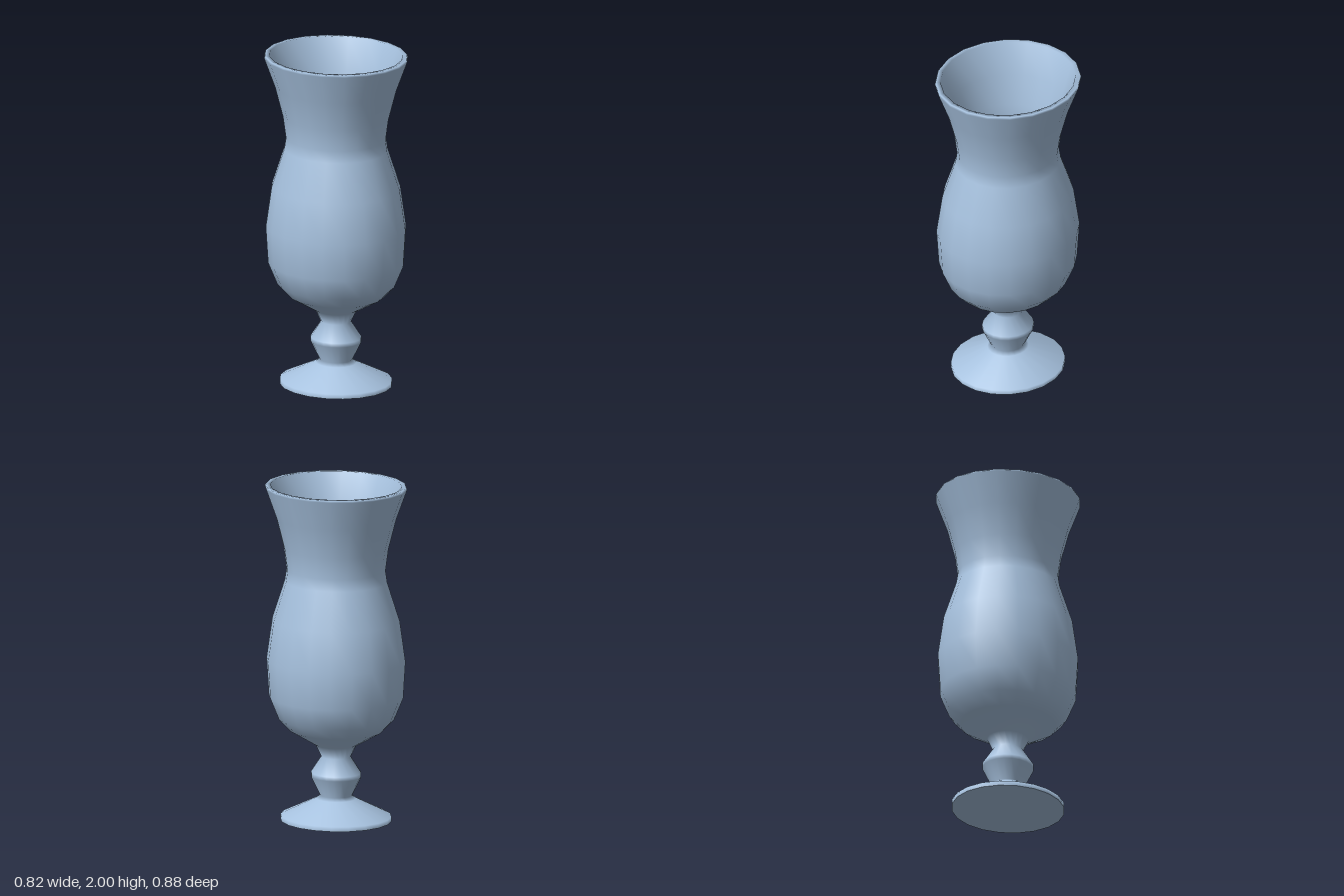
import * as THREE from 'three';

const SEGMENTS = 20;
const DEPTH = 1.078; // the cross-section is slightly longer in z than in x

// Profiles are [radius, height] pairs
const foot = [[0, 0], [0.32, 0], [0.32, 0], [0.32, 0.028], [0.115, 0.13]]; // repeated point keeps the base edge sharp
const stem = [[0.093, 0.15], [0.145, 0.26], [0.145, 0.285], [0.085, 0.38]];
const bowlOutside = [
  [0.118, 0.45], [0.27, 0.54], [0.335, 0.61], [0.387, 0.74], [0.4, 0.96], [0.367, 1.2],
  [0.295, 1.43], [0.285, 1.5], [0.302, 1.63], [0.347, 1.81], [0.41, 1.988],
];
const rim = [[0.405, 2], [0.378, 2]];
const bowlInside = [
  [0.322, 1.81], [0.277, 1.63], [0.264, 1.5], [0.274, 1.43], [0.344, 1.2], [0.378, 0.96],
  [0.364, 0.75], [0.314, 0.635], [0.25, 0.57], [0.1, 0.49], [0, 0.48],
];

export function createModel() {
  const glassBlue = new THREE.MeshStandardMaterial({ color: 0xa6c1de });
  glassBlue.name = 'glassBlue';

  // One continuous turned body, from the underside of the foot over the rim to the inner floor
  const profile = [...foot, ...stem, ...bowlOutside, ...rim, ...bowlInside]
    .map(([r, y]) => new THREE.Vector2(r, y));
  const geometry = new THREE.LatheGeometry(profile, SEGMENTS);
  geometry.scale(1, 1, DEPTH);

  const goblet = new THREE.Mesh(geometry, glassBlue);
  goblet.name = 'gobletBody';

  const group = new THREE.Group();
  group.name = 'footedGlass';
  group.add(goblet);
  return group;
}
